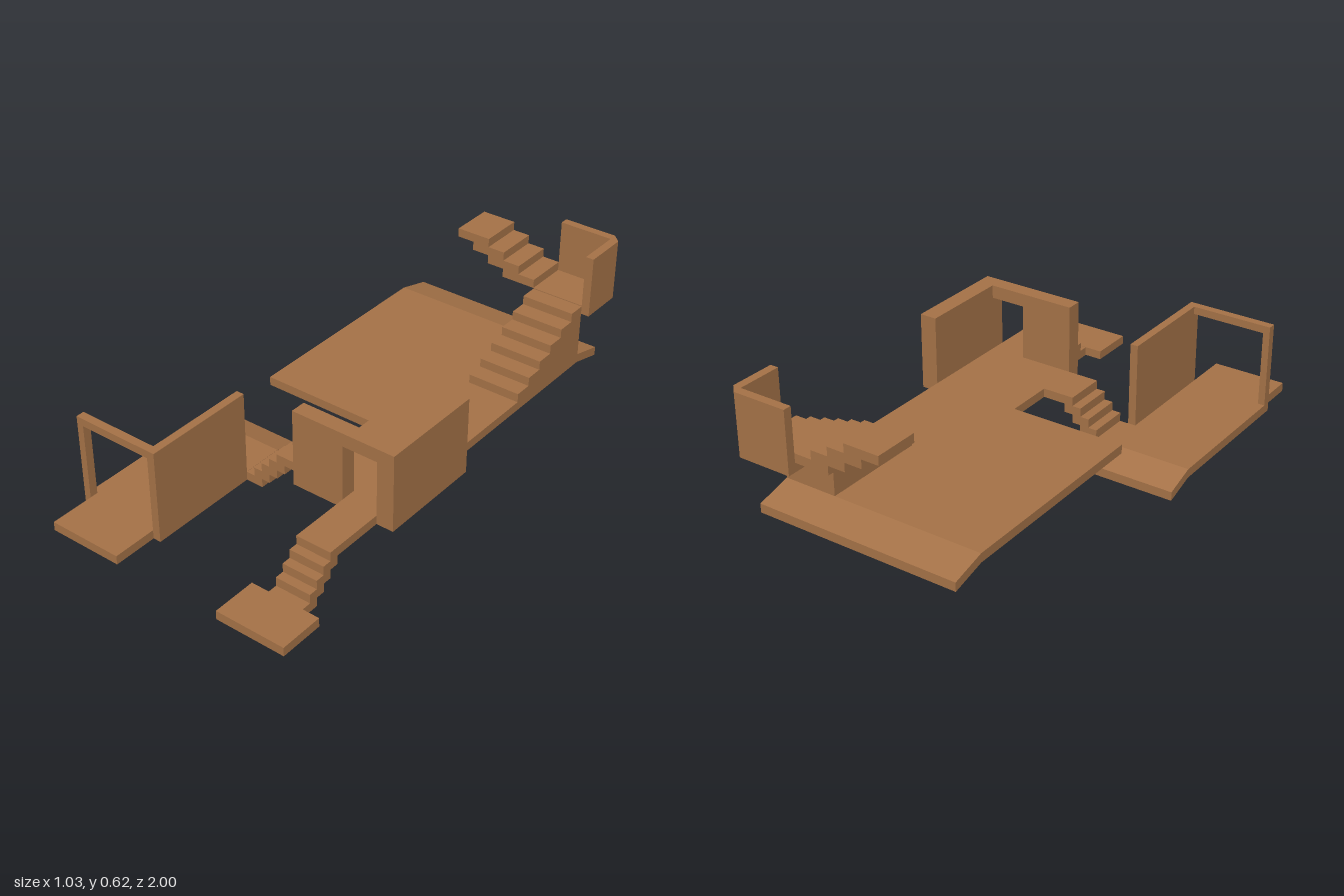
import * as THREE from 'three';

export function createModel() {
  const model = new THREE.Group();
  const material = new THREE.MeshStandardMaterial({ color: 0xa57247 });
  const T = 0.0345; // slab thickness and step height
  const LOW = 0.0385, MID = 0.1755, HIGH = 0.386; // undersides of the three levels

  const group = (name) => {
    const g = new THREE.Group();
    g.name = name;
    model.add(g);
    return g;
  };
  const add = (parent, name, geometry) => {
    const mesh = new THREE.Mesh(geometry, material);
    mesh.name = name;
    parent.add(mesh);
  };
  // Box given by its extents on each axis
  const boxGeometry = (x0, x1, y0, y1, z0, z1) =>
    new THREE.BoxGeometry(x1 - x0, y1 - y0, z1 - z0)
      .translate((x0 + x1) / 2, (y0 + y1) / 2, (z0 + z1) / 2);
  const box = (parent, name, ...e) => add(parent, name, boxGeometry(...e));
  // Slab whose rear edge drops
  const ramp = (parent, name, x0, x1, y0, z0, z1, drop) => {
    const g = boxGeometry(x0, x1, y0, y0 + T, z0, z1);
    const p = g.attributes.position;
    for (let i = 0; i < p.count; i++) {
      if (p.getZ(i) < (z0 + z1) / 2) p.setY(i, p.getY(i) - drop);
    }
    g.computeVertexNormals();
    add(parent, name, g);
  };

  // Main deck with sloping rear edge
  const deck = group('mainDeck');
  box(deck, 'deckSlab', -0.355, 0.45, MID, MID + T, -0.795, 0.03);
  ramp(deck, 'deckRamp', -0.355, 0.45, MID, -0.928, -0.795, T);

  // Entrance room: floor, two walls and a doorway
  const room = group('entranceRoom');
  box(room, 'roomFloor', 0.1, 0.45, MID, MID + T, 0.03, 0.385);
  box(room, 'sideWall', 0.45, 0.517, MID, 0.475, 0.03, 0.445);
  box(room, 'frontWall', 0.1, 0.31, MID, 0.475, 0.385, 0.445);
  box(room, 'doorLintel', 0.31, 0.45, 0.424, 0.475, 0.385, 0.445);

  // Front walkway, steps and landing
  const front = group('frontApproach');
  box(front, 'walkway', 0.31, 0.45, MID, MID + T, 0.385, 0.685);
  for (let i = 0; i < 4; i++) {
    const z = 0.65 + i * 0.035, y = MID - (i + 1) * T;
    box(front, 'frontStep', 0.31, 0.45, y, y + T, z, z + (i < 3 ? 0.07 : 0.072));
  }
  box(front, 'frontLanding', 0.24, 0.517, LOW, LOW + T, 0.827, 1);

  // Side walkway and steps down to the low deck
  const side = group('sideApproach');
  box(side, 'sideWalkway', -0.025, 0.1, MID, MID + T, 0.22, 0.385);
  for (let i = 0; i < 4; i++) {
    const x = 0.01 - i * 0.035, y = MID - (i + 1) * T;
    box(side, 'sideStep', x - 0.07, x, y, y + T, 0.22, 0.385);
  }

  // Low deck with wall, open frame, rear ramp and front tongue
  const low = group('lowDeck');
  box(low, 'lowSlab', -0.517, -0.165, LOW, LOW + T, 0.22, 0.827);
  ramp(low, 'lowRamp', -0.517, -0.165, LOW, 0.106, 0.22, LOW);
  box(low, 'lowTongue', -0.49, -0.196, LOW, LOW + T, 0.827, 1);
  box(low, 'lowWall', -0.196, -0.165, LOW + T, 0.4, 0.385, 0.827);
  box(low, 'framePost', -0.517, -0.49, LOW + T, 0.4, 0.795, 0.827);
  box(low, 'frameBeam', -0.49, -0.196, 0.37, 0.4, 0.795, 0.827);

  // Solid rear staircase, one stepped profile
  const rear = group('rearStairs');
  const profile = new THREE.Shape().moveTo(0.795, MID + T).lineTo(0.388, MID + T);
  for (let i = 0; i < 6; i++) {
    const z = 0.388 + i * 0.068, y = MID + T * (i + 2);
    profile.lineTo(z, y).lineTo(i < 5 ? z + 0.068 : 0.795, y);
  }
  add(rear, 'rearStaircase', new THREE.ExtrudeGeometry(profile, { depth: 0.21, bevelEnabled: false })
    .rotateY(Math.PI / 2).translate(0.24, 0, 0));

  // Upper landing with an angled corner parapet
  const upper = group('upperLanding');
  box(upper, 'upperFloor', 0.24, 0.45, HIGH, HIGH + T, -0.968, -0.795);
  const plan = new THREE.Shape([
    [0.24, -1], [0.45, -1], [0.482, -0.968], [0.482, -0.795],
    [0.45, -0.795], [0.45, -0.968], [0.24, -0.968],
  ].map(([x, z]) => new THREE.Vector2(x, z)));
  add(upper, 'parapet', new THREE.ExtrudeGeometry(plan, { depth: 0.624 - HIGH, bevelEnabled: false })
    .rotateX(Math.PI / 2).translate(0, 0.624, 0));

  // Floating steps rising from the upper landing
  for (let i = 0; i < 4; i++) {
    const x = 0.24 - i * 0.069, y = HIGH + T * (i + 1);
    box(upper, 'floatingStep', x - 0.138, x, y, y + T, -0.968, -0.795);
  }

  return model;
}
